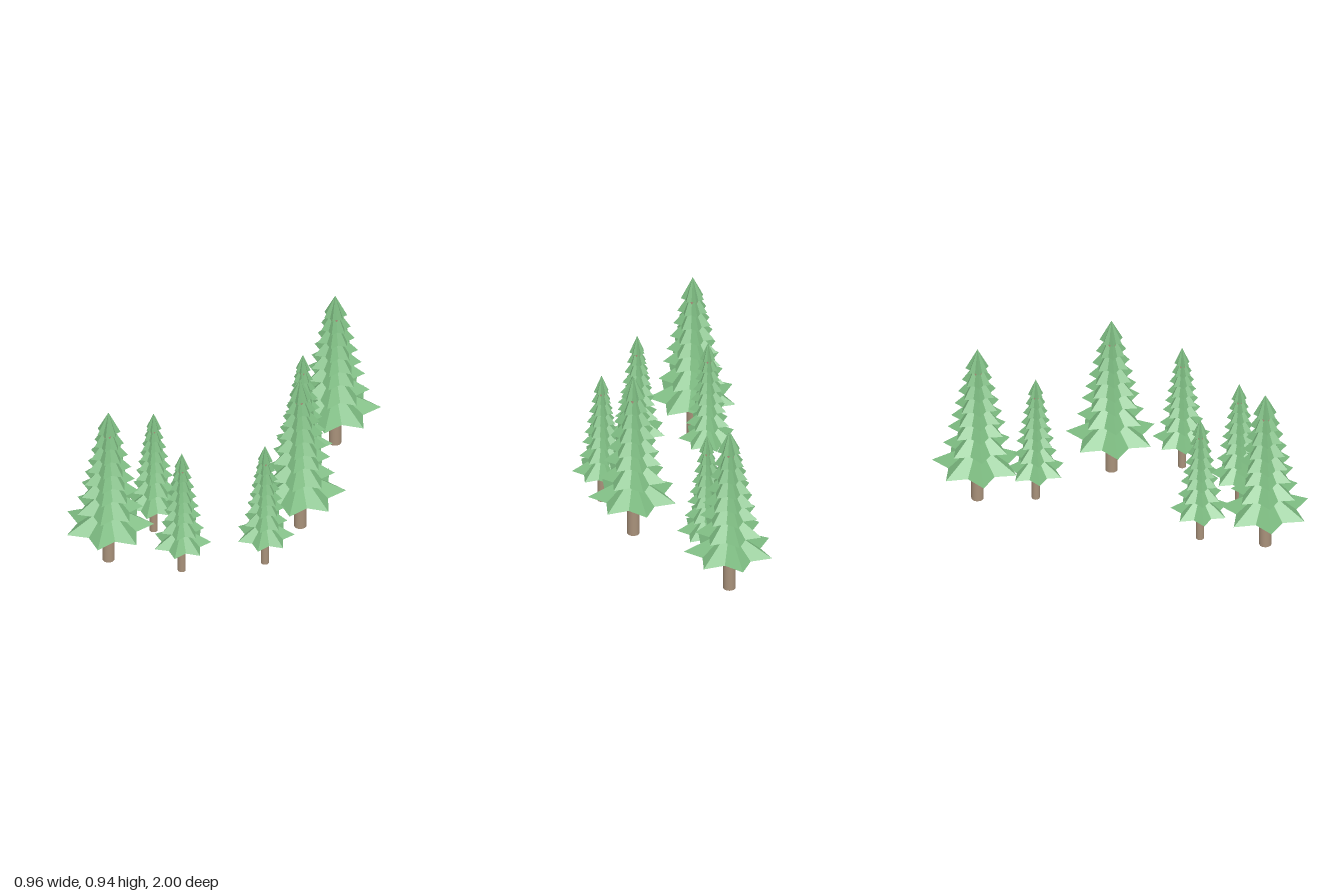
import * as THREE from 'three';

const POINTS = 7;          // tips per branch star
const NOTCH = 0.68;        // inner radius relative to tip radius
const TIER_HEIGHT = 0.124;

const needles = new THREE.MeshStandardMaterial({ color: 0x7cba80, flatShading: true });
needles.name = 'needle green';
const bark = new THREE.MeshStandardMaterial({ color: 0xa8917a });
bark.name = 'bark brown';

// [base height, tip radius] of each branch tier, top to bottom
const TIERS = [
  [0.82, 0.062], [0.746, 0.08], [0.672, 0.1], [0.595, 0.118],
  [0.518, 0.136], [0.444, 0.154], [0.341, 0.178], [0.228, 0.236],
];

// Cone whose base ring is pulled in between the tips to make a star
function starCone(radius) {
  const geo = new THREE.ConeGeometry(radius, TIER_HEIGHT, POINTS * 2, 1);
  geo.rotateY(Math.PI / 2);
  geo.translate(0, TIER_HEIGHT / 2, 0);
  const p = geo.attributes.position;
  for (let i = 0; i < p.count; i++) {
    const x = p.getX(i), z = p.getZ(i);
    if (Math.hypot(x, z) < radius * 0.5) continue;
    const step = Math.round(Math.atan2(z, x) / (Math.PI / POINTS));
    if (step % 2 !== 0) p.setXYZ(i, x * NOTCH, p.getY(i), z * NOTCH);
  }
  const flat = geo.toNonIndexed();
  flat.computeVertexNormals();
  return flat;
}

const tierGeos = TIERS.map(([, r]) => starCone(r));
const trunkGeo = new THREE.CylinderGeometry(0.032, 0.032, 0.83, 20).translate(0, 0.415, 0);

function makeTree(name, x, z, width, height) {
  const tree = new THREE.Group();
  tree.name = name;
  const trunk = new THREE.Mesh(trunkGeo, bark);
  trunk.name = 'trunk';
  tree.add(trunk);
  TIERS.forEach(([y], i) => {
    const tier = new THREE.Mesh(tierGeos[i], needles);
    tier.name = 'branchTier' + (i + 1);
    tier.position.y = y;
    tree.add(tier);
  });
  tree.position.set(x, 0, z);
  tree.scale.set(width, height, width);
  return tree;
}

export function createModel() {
  const grove = new THREE.Group();
  grove.name = 'pineGrove';
  const large = [[-0.267, -0.768], [0.185, -0.188], [-0.196, 0.768]];
  const small = [[-0.172, -0.483], [0.323, 0.15], [-0.249, 0.432], [0.11, 0.528]];
  large.forEach(([x, z], i) => grove.add(makeTree('largePine' + (i + 1), x, z, 1, 1)));
  small.forEach(([x, z], i) => grove.add(makeTree('smallPine' + (i + 1), x, z, 0.65, 0.795)));
  return grove;
}
